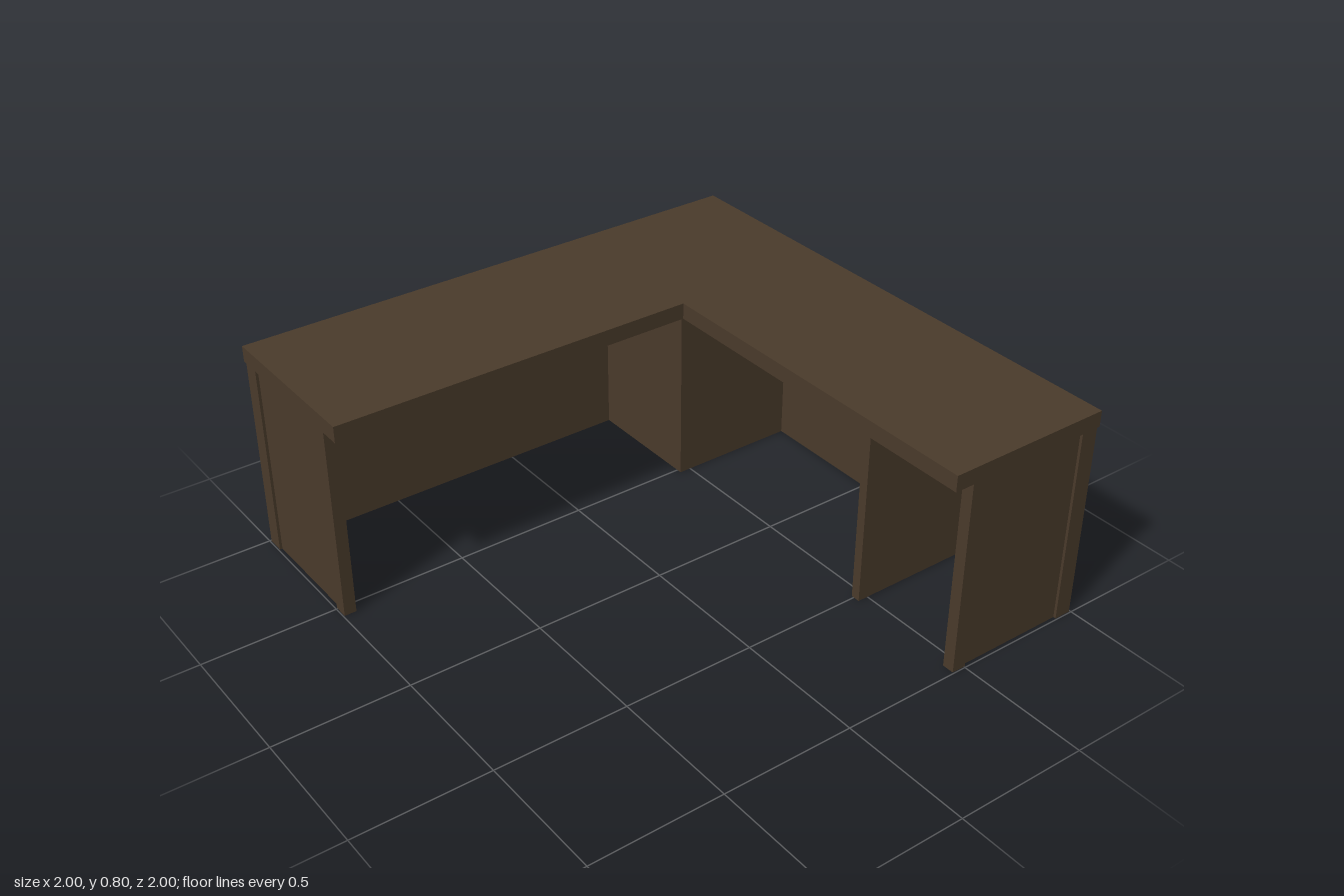
import * as THREE from 'three';

export function createModel() {
  const group = new THREE.Group();
  group.name = 'cornerDesk';
  const wood = new THREE.MeshStandardMaterial({ color: 0x4a3b2b });
  wood.name = 'darkWood';

  const TOP = 0.8, UNDER = 0.74;   // desktop surface and underside
  const OUT = 0.985, IN = 0.95;    // outer and inner faces of the walls
  const EDGE = -0.45;              // free edge of the end panels
  const BATTEN = 0.055, PROUD = 0.01;

  // upright panel from the floor to the desktop
  function panel(name, x0, x1, z0, z1) {
    const mesh = new THREE.Mesh(new THREE.BoxGeometry(x1 - x0, UNDER, z1 - z0), wood);
    mesh.position.set((x0 + x1) / 2, UNDER / 2, (z0 + z1) / 2);
    mesh.name = name;
    group.add(mesh);
  }

  // L-shaped desktop
  const outline = new THREE.Shape([
    [-1, -1], [-0.36, -1], [-0.36, 0.37], [1, 0.37], [1, 1], [-1, 1],
  ].map(([x, y]) => new THREE.Vector2(x, y)));
  const topGeometry = new THREE.ExtrudeGeometry(outline, { depth: TOP - UNDER, bevelEnabled: false });
  topGeometry.rotateX(-Math.PI / 2).translate(0, UNDER, 0);
  const desktop = new THREE.Mesh(topGeometry, wood);
  desktop.name = 'desktop';
  group.add(desktop);

  // outer walls and end panels
  panel('backWall', -OUT, OUT, -OUT, -IN);
  panel('sideWall', -OUT, -IN, -IN, OUT);
  panel('backWingEnd', IN, OUT, -IN, EDGE);
  panel('sideWingEnd', -IN, EDGE, IN, OUT);

  // hollow inner corner and divider
  panel('cornerPanelFront', -IN, -0.48, -0.49, -0.455);
  panel('cornerPanelSide', -0.515, -0.48, -IN, -0.49);
  panel('divider', 0.49, 0.525, -IN, -0.46);

  // battens along the two long walls
  const far = OUT + PROUD, end = far - BATTEN / 2;
  for (const c of [-end, -0.39, 0.393, end]) {
    const a = c - BATTEN / 2, b = c + BATTEN / 2;
    panel('backBatten', a, b, -far, -OUT);
    panel('sideBatten', -far, -OUT, a, b);
  }

  // battens along the edges of the end panels
  for (const a of [-OUT, EDGE - BATTEN]) {
    panel('backWingEndBatten', OUT, far, a, a + BATTEN);
    panel('sideWingEndBatten', a, a + BATTEN, OUT, far);
  }
  return group;
}
